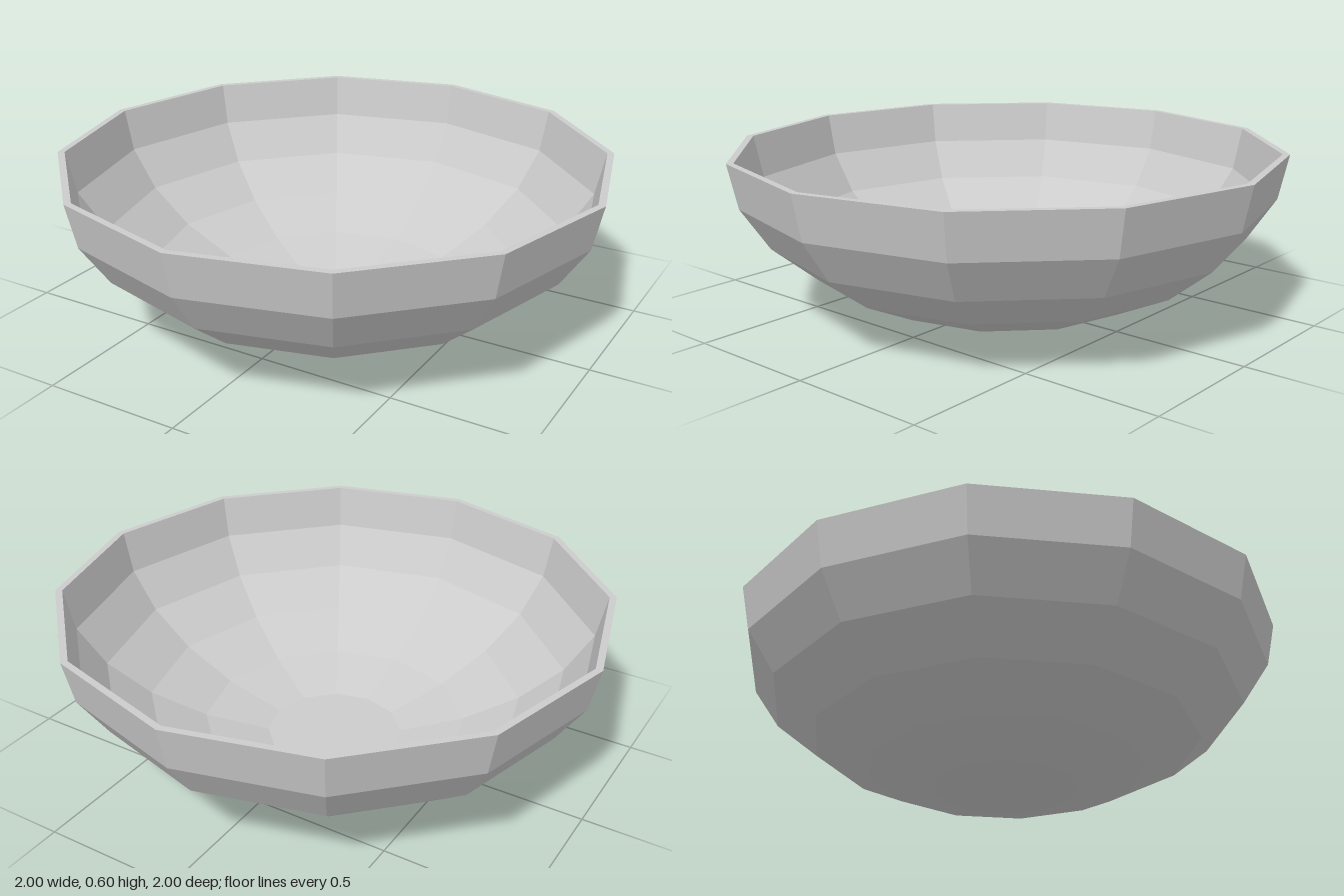
import * as THREE from 'three';

const SIDES = 12;
const HEIGHT = 0.6;
const RINGS = 6;
const WALL_SCALE = 0.975; // inner surface relative to the outer one

// Squashed quarter-sphere profile, from the flat base up to the rim
function profile(scale) {
  const depth = HEIGHT / Math.cos(Math.PI / 12);
  const points = [];
  for (let i = 1; i <= RINGS; i++) {
    const a = (i * Math.PI) / 12;
    points.push(new THREE.Vector2(scale * Math.sin(a), HEIGHT - scale * depth * Math.cos(a)));
  }
  return points;
}

export function createModel() {
  const group = new THREE.Group();
  group.name = 'bowl';

  const outer = profile(1);
  outer[0].y = 0;
  const inner = profile(WALL_SCALE).reverse();
  const floorY = inner[inner.length - 1].y;

  // Closed shell: base, outer wall, flat rim, inner wall, floor
  const points = [new THREE.Vector2(0, 0), ...outer, ...inner, new THREE.Vector2(0, floorY)];
  const material = new THREE.MeshStandardMaterial({ color: 0xcccccc, flatShading: true });
  const shell = new THREE.Mesh(new THREE.LatheGeometry(points, SIDES), material);
  shell.name = 'bowlShell';
  group.add(shell);

  return group;
}
